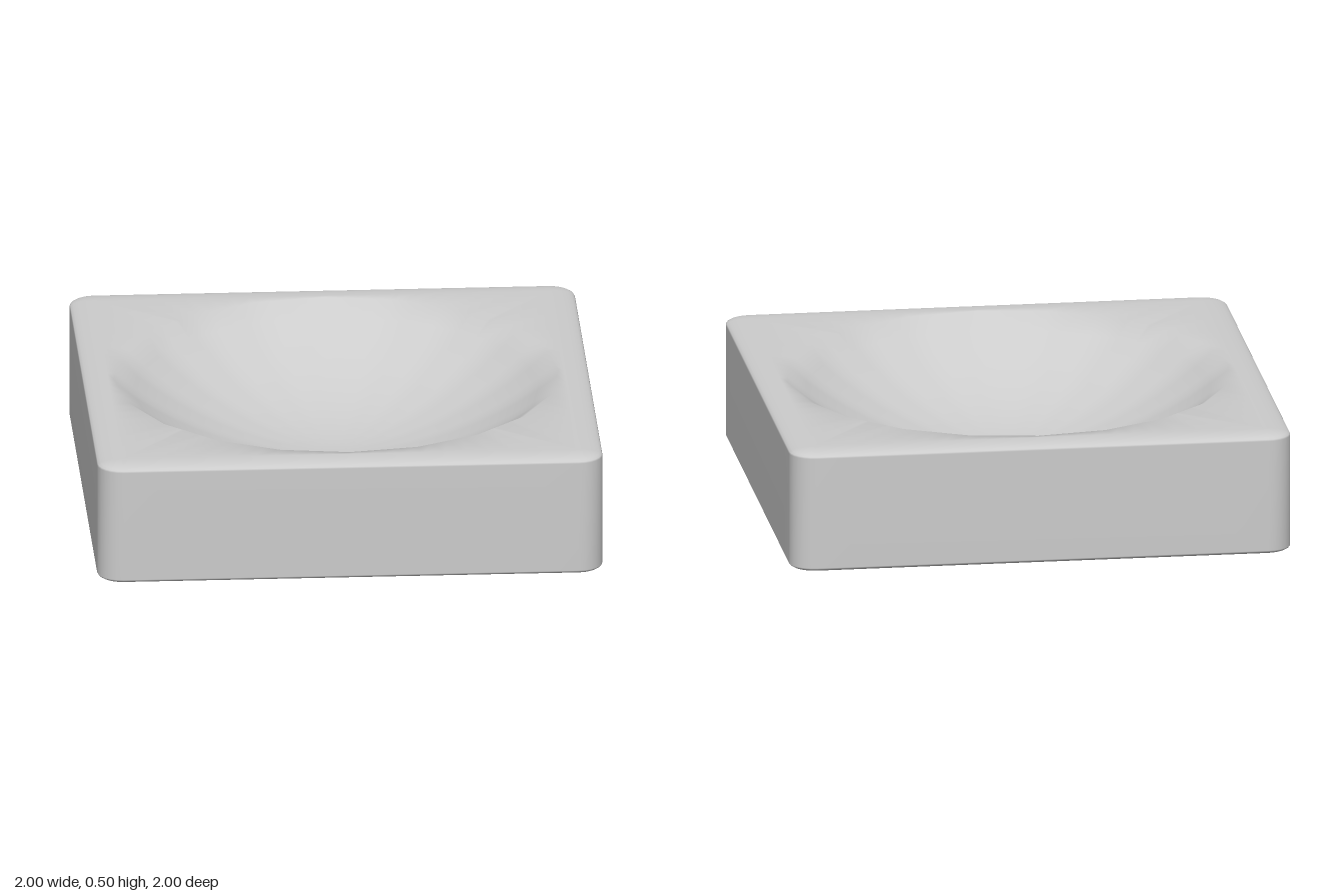
import * as THREE from 'three';

const HEIGHT = 0.5, CORE = 0.9, BEVEL = 0.1, BEVEL_Y = 0.025;
const RIM = 0.88, BOWL_R = 1.36, SIDES = 20;

// Points round the square: core position, outward direction, and polar angle.
function outline() {
  const pts = [];
  for (let q = 0; q < 4; q++) {
    const base = q * Math.PI / 2;
    const c = Math.cos(base), s = Math.sin(base);
    const add = (x, z, dx, dz, a) => pts.push({
      x: x * c - z * s, z: x * s + z * c,
      dx: dx * c - dz * s, dz: dx * s + dz * c, a: a + base,
    });
    // straight side
    for (let i = -9; i <= 9; i++) {
      const a = i * Math.PI / 40;
      add(CORE, CORE * Math.tan(a), 1, 0, a);
    }
    // rounded corner
    for (let i = 0; i <= 6; i++) {
      const d = i * Math.PI / 12, dx = Math.cos(d), dz = Math.sin(d);
      add(CORE, CORE, dx, dz, Math.atan2(CORE + BEVEL * dz, CORE + BEVEL * dx));
    }
  }
  return pts;
}

// Radius factor that turns a circle into a regular polygon.
function polygon(a) {
  const step = 2 * Math.PI / SIDES;
  const local = a - Math.floor(a / step) * step - step / 2;
  return Math.cos(step / 2) / Math.cos(local);
}

function blockGeometry() {
  const pts = outline(), n = pts.length, rings = [];
  const edgeRing = (t, top) => pts.map(p => {
    const w = BEVEL * Math.sin(t), y = BEVEL_Y * (1 - Math.cos(t));
    return [p.x + p.dx * w, top ? HEIGHT - y : y, p.z + p.dz * w];
  });

  // underside and lower bevel, then upper bevel
  for (let i = 0; i <= 6; i++) rings.push(edgeRing(i * Math.PI / 12, false));
  for (let i = 6; i >= 0; i--) rings.push(edgeRing(i * Math.PI / 12, true));

  // spherical hollow from the rim to near its lowest point
  const rimAngle = Math.asin(RIM / BOWL_R);
  const floor = HEIGHT - BOWL_R * (1 - Math.cos(rimAngle));
  const steps = 10;
  for (let i = steps; i >= 1; i--) {
    const t = rimAngle * i / steps;
    const r = BOWL_R * Math.sin(t), y = floor + BOWL_R * (1 - Math.cos(t));
    rings.push(pts.map(p => {
      const k = r * polygon(p.a);
      return [k * Math.cos(p.a), y, k * Math.sin(p.a)];
    }));
  }

  // join the rings and close both centres
  const positions = rings.flat(2), index = [];
  const bottom = rings.length * n, bowl = bottom + 1;
  positions.push(0, 0, 0, 0, floor, 0);
  const last = (rings.length - 1) * n;
  for (let j = 0; j < n; j++) {
    const k = (j + 1) % n;
    for (let i = 0; i < rings.length - 1; i++) {
      const a = i * n + j, b = i * n + k;
      index.push(a, a + n, b, b, a + n, b + n);
    }
    index.push(bottom, j, k, bowl, last + k, last + j);
  }
  const g = new THREE.BufferGeometry();
  g.setAttribute('position', new THREE.Float32BufferAttribute(positions, 3));
  g.setIndex(index);
  g.computeVertexNormals();
  return g;
}

export function createModel() {
  const group = new THREE.Group();
  group.name = 'squareDish';
  const block = new THREE.Mesh(
    blockGeometry(),
    new THREE.MeshStandardMaterial({ color: 0xcccccc }),
  );
  block.name = 'hollowedBlock';
  group.add(block);
  return group;
}
